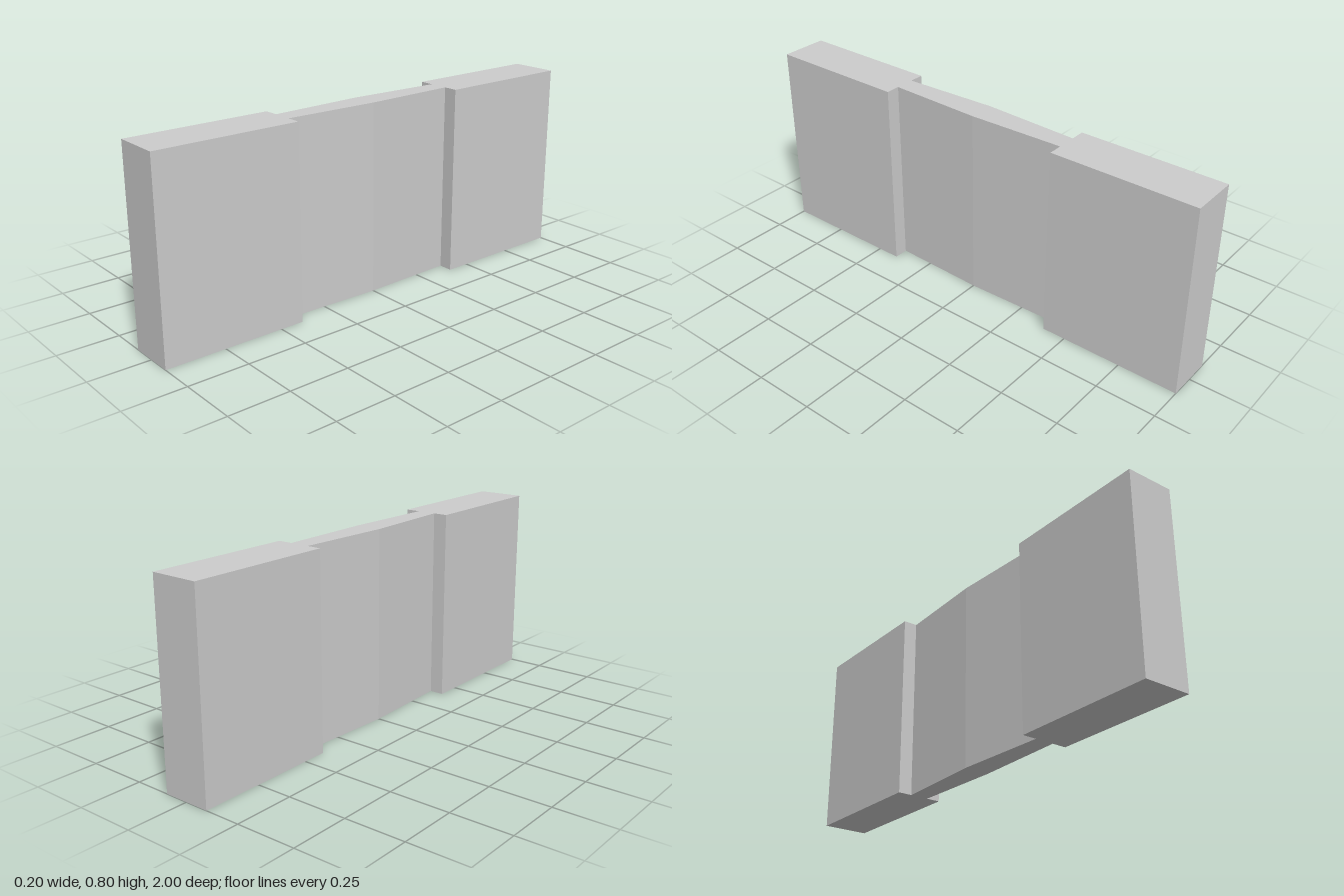
import * as THREE from 'three';

export function createModel() {
  const group = new THREE.Group();
  const material = new THREE.MeshStandardMaterial({ color: 0xcccccc, flatShading: true });
  const height = 0.8;

  // Thick rectangular blocks at both ends
  for (const [name, z] of [['frontBlock', 0.7], ['backBlock', -0.7]]) {
    const block = new THREE.Mesh(new THREE.BoxGeometry(0.2, height, 0.6), material);
    block.name = name;
    block.position.set(0, height / 2, z);
    group.add(block);
  }

  // Thin connecting panel, slightly swollen at mid-length
  const plan = new THREE.Shape([
    [-0.04, -0.4], [0.04, -0.4], [0.052, 0], [0.04, 0.4], [-0.04, 0.4], [-0.058, 0],
  ].map(([x, y]) => new THREE.Vector2(x, y)));
  const panelGeometry = new THREE.ExtrudeGeometry(plan, { depth: height, bevelEnabled: false });
  panelGeometry.rotateX(-Math.PI / 2);
  const panel = new THREE.Mesh(panelGeometry, material);
  panel.name = 'middlePanel';
  group.add(panel);

  return group;
}
